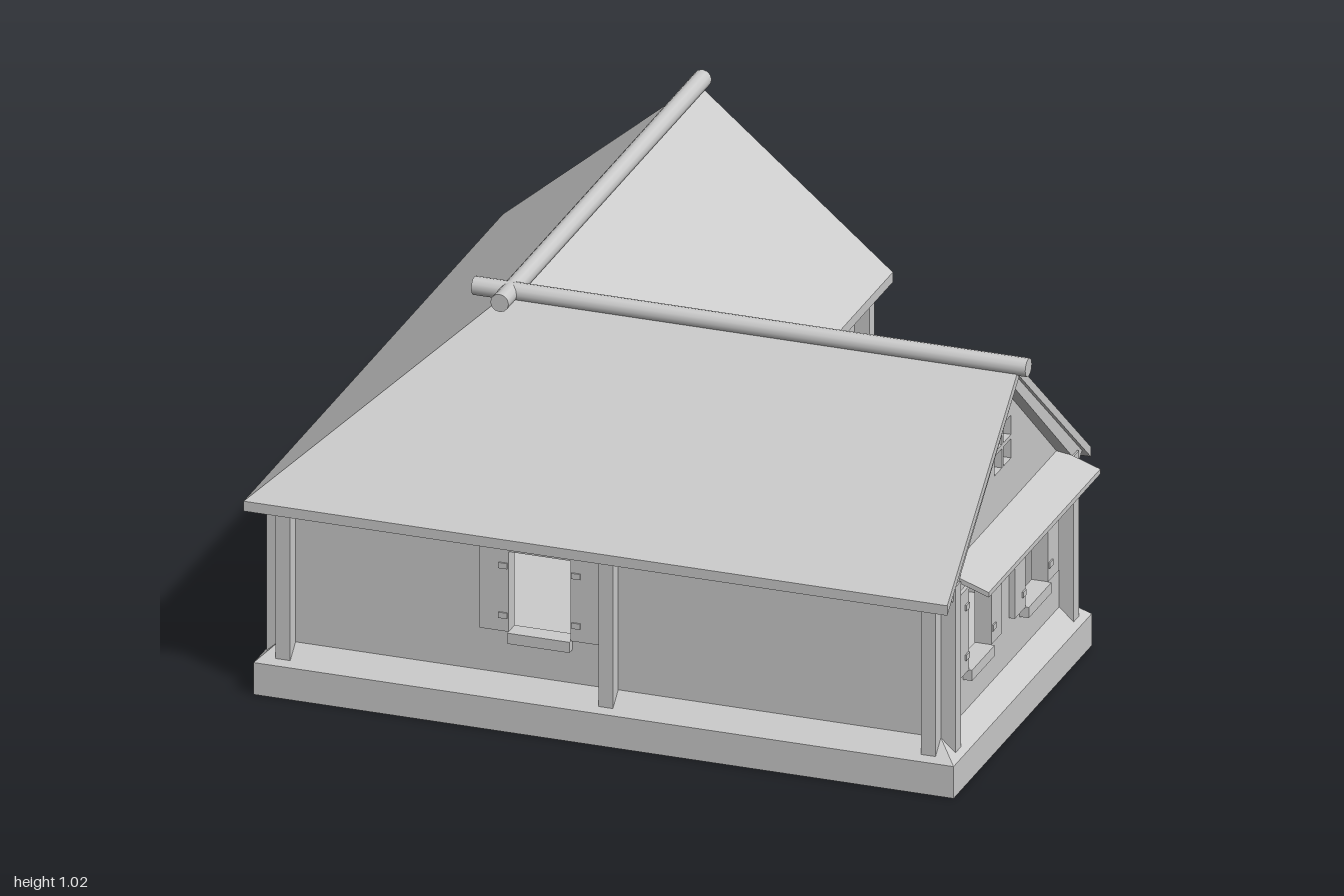
import * as THREE from 'three';

const grey = new THREE.MeshStandardMaterial({ color: 0xcccccc });
grey.name = 'light grey';

function add(parent, name, geometry, x = 0, y = 0, z = 0) {
  const mesh = new THREE.Mesh(geometry, grey);
  mesh.name = name;
  mesh.position.set(x, y, z);
  parent.add(mesh);
  return mesh;
}

// Box given by its minimum and maximum corners
function box(parent, name, [x0, y0, z0], [x1, y1, z1]) {
  return add(parent, name, new THREE.BoxGeometry(x1 - x0, y1 - y0, z1 - z0),
    (x0 + x1) / 2, (y0 + y1) / 2, (z0 + z1) / 2);
}

// Flat-shaded geometry from a list of four-cornered faces
function quads(list) {
  const pos = list.flatMap(([a, b, c, d]) => [a, b, c, a, c, d].flat());
  const g = new THREE.BufferGeometry();
  g.setAttribute('position', new THREE.Float32BufferAttribute(pos, 3));
  g.computeVertexNormals();
  return g;
}

// Four-cornered plate with vertical thickness
function slab(top, t) {
  const low = top.map(([x, y, z]) => [x, y - t, z]);
  const faces = [top, [...low].reverse()];
  top.forEach((p, i) => {
    const j = (i + 1) % 4;
    faces.push([low[i], low[j], top[j], p]);
  });
  return quads(faces);
}

// L-shaped outline of the walls, moved outward by d
function outline(d) {
  return [[-0.925 - d, -0.885 - d], [d, -0.885 - d], [d, -d],
    [0.885 + d, -d], [0.885 + d, 0.925 + d], [-0.925 - d, 0.925 + d]];
}

const path = pts => pts.map(([x, y]) => new THREE.Vector2(x, y));
const rect = (x0, y0, x1, y1) => [[x0, y0], [x1, y0], [x1, y1], [x0, y1]];

// Wall with openings: its outer face lies at local z = 0
function wall(parent, name, pts, holes = []) {
  const shape = new THREE.Shape(path(pts));
  holes.forEach(h => shape.holes.push(new THREE.Path(path([...h].reverse()))));
  add(parent, name, new THREE.ExtrudeGeometry(shape, { depth: 0.03, bevelEnabled: false }), 0, 0, -0.03);
}

function facade(parent, name, x, z, turn) {
  const g = new THREE.Group();
  g.name = name;
  g.position.set(x, 0, z);
  g.rotation.y = turn;
  parent.add(g);
  return g;
}

const WIN = 0.085, WIN_LOW = 0.265, WIN_TOP = 0.49;
const opening = cx => rect(cx - WIN, WIN_LOW, cx + WIN, WIN_TOP);

// Sill, lintel and opened shutters around a window opening
function windowTrim(g, cx) {
  box(g, 'windowSill', [cx - WIN, 0.235, -0.03], [cx + WIN, WIN_LOW, 0.025]);
  box(g, 'windowLintel', [cx - WIN, WIN_TOP, -0.03], [cx + WIN, 0.51, 0.015]);
  for (const s of [-1, 1]) {
    const c = cx + s * (WIN + 0.04);
    box(g, 'shutter', [c - 0.04, 0.265, 0], [c + 0.04, 0.5, 0.016]);
    for (const y of [0.31, 0.45]) {
      const h = c - s * 0.025;
      box(g, 'shutterHinge', [h - 0.012, y - 0.008, 0.016], [h + 0.012, y + 0.008, 0.02]);
    }
  }
}

function post(g, x0, top = 0.54) {
  box(g, 'post', [x0, 0.09, -0.01], [x0 + 0.04, top, 0.04]);
}

// Gable end, centred on its ridge
function gable(parent, name, x, z, turn) {
  const g = facade(parent, name, x, z, turn);
  const w = 0.4625, a = 0.0625;
  wall(g, 'gableWall', [[-w, 0.1], [w, 0.1], [w, 0.575], [0, 0.975], [-w, 0.575]],
    [opening(-0.2125), opening(0.2125), rect(-a, 0.71, a, 0.83)]);
  windowTrim(g, -0.2125);
  windowTrim(g, 0.2125);
  post(g, -w, 0.57);
  post(g, w - 0.04, 0.57);
  // Attic window bars
  box(g, 'atticBar', [-0.006, 0.71, -0.02], [0.006, 0.83, 0]);
  box(g, 'atticBar', [-a, 0.764, -0.02], [a, 0.776, 0]);
  // Small awning and the beam under it
  box(g, 'awningBeam', [-0.4175, 0.53, 0], [0.4175, 0.558, 0.03]);
  add(g, 'awning', slab([[-0.4175, 0.548, 0.115], [0.4175, 0.548, 0.115],
    [0.4175, 0.588, 0], [-0.4175, 0.588, 0]], 0.014));
  // Barge boards below the roof edge
  for (const s of [-1, 1]) {
    const pts = [[0, 0.985], [s * 0.5, 0.555], [s * 0.47, 0.53], [0, 0.935]];
    add(g, 'bargeBoard', new THREE.ExtrudeGeometry(new THREE.Shape(path(pts)),
      { depth: 0.035, bevelEnabled: false }));
  }
}

export function createModel() {
  const house = new THREE.Group();
  house.name = 'house';

  // Foundation with a sloping ledge that meets the walls
  const rings = [[0.055, 0], [0.055, 0.09], [0, 0.14]].map(([d, y]) => outline(d).map(([x, z]) => [x, y, z]));
  const sides = [];
  for (let r = 0; r < 2; r++) {
    for (let i = 0; i < 6; i++) {
      const j = (i + 1) % 6;
      sides.push([rings[r][i], rings[r + 1][i], rings[r + 1][j], rings[r][j]]);
    }
  }
  add(house, 'foundation', quads(sides));
  const bottom = new THREE.ShapeGeometry(new THREE.Shape(path(outline(0.055))));
  add(house, 'foundationBottom', bottom.rotateX(Math.PI / 2));
  const floor = new THREE.ShapeGeometry(new THREE.Shape(path(outline(0).map(([x, z]) => [x, -z]))));
  add(house, 'floor', floor.rotateX(-Math.PI / 2), 0, 0.14, 0);

  // Long walls
  const top = 0.565;
  const front = facade(house, 'frontSide', 0, 0.925, 0);
  wall(front, 'frontWall', rect(-0.925, 0.1, 0.885, top), [opening(-0.21)]);
  windowTrim(front, -0.21);
  [-0.925, -0.04, 0.845].forEach(x => post(front, x));

  const outer = facade(house, 'outerSide', -0.925, 0, -Math.PI / 2);
  wall(outer, 'outerWall', rect(-0.885, 0.1, 0.925, top));
  [-0.885, 0.885].forEach(x => post(outer, x));

  const doorSide = facade(house, 'doorSide', 0, 0, Math.PI / 2);
  wall(doorSide, 'doorWall', rect(-0.03, 0.1, 0.885, top), [rect(0.545, 0.15, 0.715, 0.48)]);
  post(doorSide, 0.845);

  const yard = facade(house, 'yardSide', 0, 0, Math.PI);
  wall(yard, 'yardWall', rect(-0.885, 0.1, 0, top));
  post(yard, -0.885);

  // Gable ends
  gable(house, 'sideGable', 0.885, 0.4625, Math.PI / 2);
  gable(house, 'backGable', -0.4625, -0.885, Math.PI);

  // Door steps
  [[0.13, 0.125], [0.2, 0.09], [0.26, 0.045]].forEach(([x, y]) => {
    box(house, 'doorStep', [0.03, 0, -0.75], [x, y, -0.495]);
  });

  // Four roof slopes meeting in a hip and a valley
  const E = 0.55, R = 1.0, rx = -0.465, rz = 0.46, back = -0.94, side = 0.93;
  const slopes = {
    outerRoof: [[-1, E, back], [-1, E, 1], [rx, R, rz], [rx, R, back]],
    frontRoof: [[-1, E, 1], [side, E, 1], [side, R, rz], [rx, R, rz]],
    doorRoof: [[0.07, E, -0.075], [0.07, E, back], [rx, R, back], [rx, R, rz]],
    yardRoof: [[side, E, -0.075], [0.07, E, -0.075], [rx, R, rz], [side, R, rz]],
  };
  for (const name in slopes) add(house, name, slab(slopes[name], 0.028));

  // Crossing ridge logs
  const log = length => new THREE.CylinderGeometry(0.025, 0.025, length, 12);
  add(house, 'sideRidgeLog', log(1.52), 0.195, 1.0, rz).rotation.z = Math.PI / 2;
  add(house, 'backRidgeLog', log(1.52), rx, 1.0, -0.215).rotation.x = Math.PI / 2;

  return house;
}
